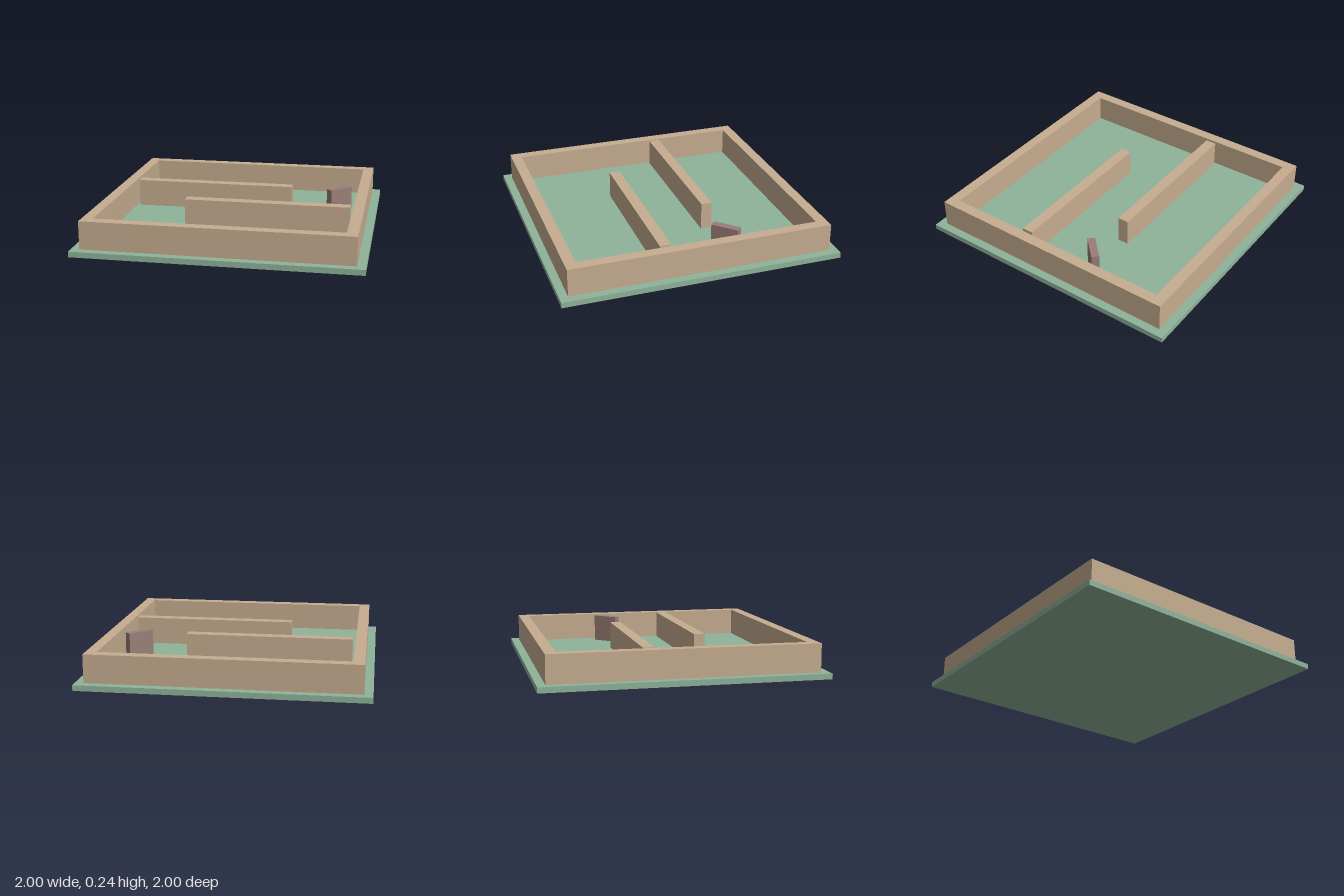
import * as THREE from 'three';

const FLOOR = 0.04; // top of the base slab
const WALL_H = 0.2; // height of every wall above the slab

const paint = (color) => new THREE.MeshStandardMaterial({ color });

function squarePath(PathType, half) {
  const path = new PathType();
  path.moveTo(-half, -half);
  path.lineTo(half, -half);
  path.lineTo(half, half);
  path.lineTo(-half, half);
  path.closePath();
  return path;
}

export function createModel() {
  const model = new THREE.Group();
  model.name = 'walledCourtyard';
  const green = paint(0x8fb39a);
  const tan = paint(0xc6ad90);
  const brown = paint(0x9a7e78);

  function addBox(name, material, [w, h, d], [x, bottom, z], turn = 0) {
    const mesh = new THREE.Mesh(new THREE.BoxGeometry(w, h, d), material);
    mesh.name = name;
    mesh.position.set(x, bottom + h / 2, z);
    mesh.rotation.y = turn;
    model.add(mesh);
  }

  // Base slab
  addBox('base', green, [2, FLOOR, 2], [0, 0, 0]);

  // Square outer wall, open in the middle
  const outline = squarePath(THREE.Shape, 0.94);
  outline.holes.push(squarePath(THREE.Path, 0.862));
  const wallGeometry = new THREE.ExtrudeGeometry(outline, { depth: WALL_H, bevelEnabled: false });
  wallGeometry.rotateX(-Math.PI / 2);
  const outerWall = new THREE.Mesh(wallGeometry, tan);
  outerWall.name = 'outerWall';
  outerWall.position.y = FLOOR;
  model.add(outerWall);

  // Two staggered inner walls
  for (const side of [-1, 1]) {
    const name = side < 0 ? 'backInnerWall' : 'frontInnerWall';
    addBox(name, tan, [1.2, WALL_H, 0.08], [side * 0.24, FLOOR, side * 0.24]);
  }

  // Small panel standing at an angle
  addBox('angledPanel', brown, [0.2, WALL_H, 0.055], [0.72, FLOOR, -0.245], Math.PI / 4);

  return model;
}
